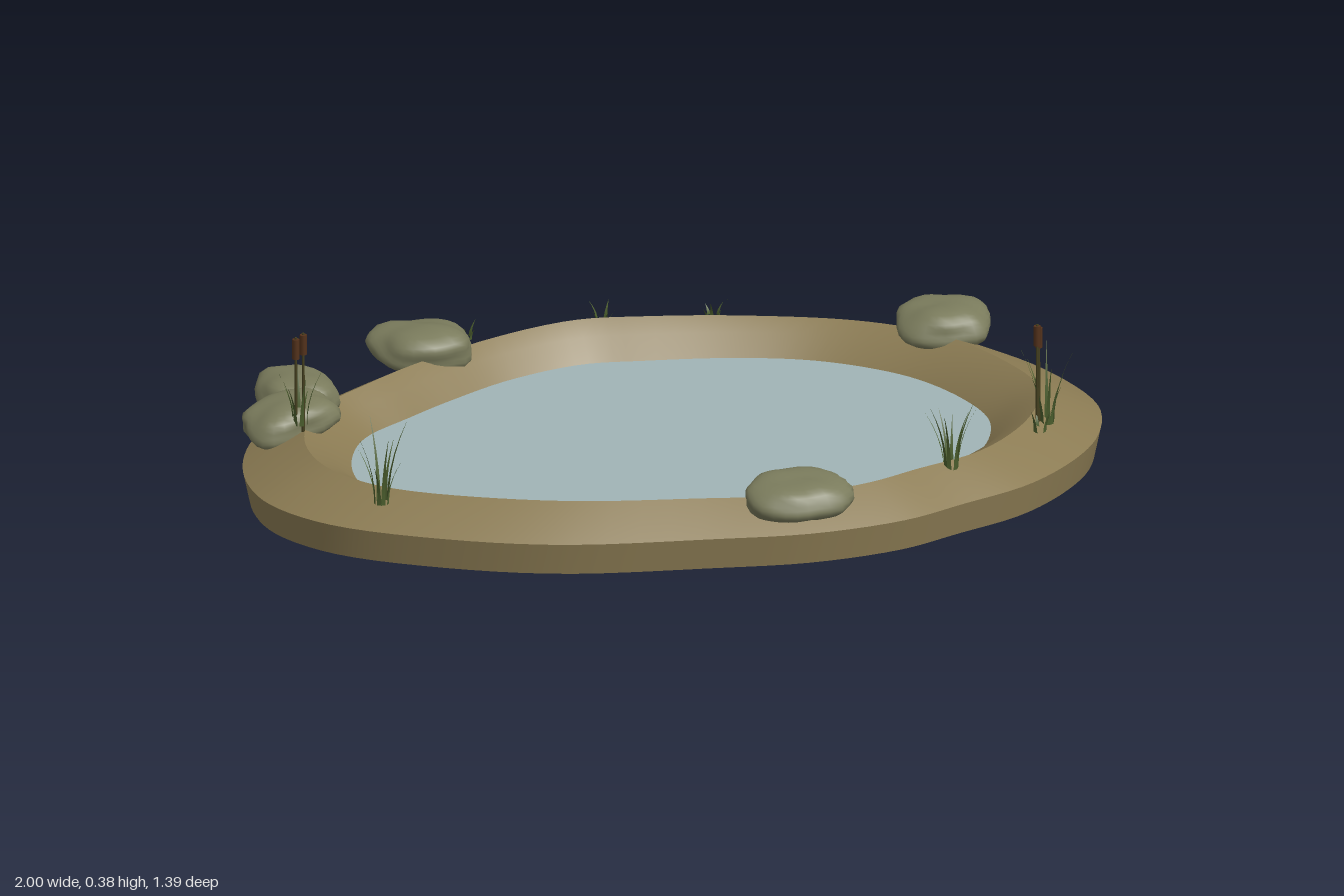
import * as THREE from 'three';
import { mergeVertices } from 'three/addons/utils/BufferGeometryUtils.js';

const mat = (name, color, side = THREE.FrontSide) => {
  const m = new THREE.MeshStandardMaterial({ color, side });
  m.name = name;
  return m;
};

export function createModel() {
  const soil = mat('soil', 0x8b7b53);
  const waterMat = mat('water', 0xa0b4b6);
  const stone = mat('stone', 0x7a7b5c);
  const leaf = mat('leaf', 0x4c5f2e, THREE.DoubleSide);
  const stem = mat('stem', 0x45401f);
  const headMat = mat('seed head', 0x54321b);

  const pond = new THREE.Group();
  pond.name = 'pond';
  const add = (parent, name, geo, material) => {
    const mesh = new THREE.Mesh(geo, material);
    mesh.name = name;
    parent.add(mesh);
    return mesh;
  };

  // Outline of the bank, walked from +x through +z
  const outline = new THREE.CatmullRomCurve3([
    [1, 0.04], [0.96, 0.21], [0.88, 0.34], [0.73, 0.48], [0.55, 0.565], [0.4, 0.63],
    [0.18, 0.66], [-0.05, 0.64], [-0.4, 0.59], [-0.66, 0.485], [-0.88, 0.34],
    [-0.98, 0.19], [-1, 0.05], [-0.97, -0.11], [-0.89, -0.26], [-0.72, -0.39],
    [-0.56, -0.5], [-0.34, -0.625], [-0.1, -0.695], [0.09, -0.68], [0.35, -0.64],
    [0.57, -0.57], [0.73, -0.47], [0.86, -0.34], [0.955, -0.16],
  ].map(([x, z]) => new THREE.Vector3(x, 0, z)), true);
  const N = 120;
  const points = outline.getPoints(N).slice(0, N);

  // Skin through scaled copies of the outline: [scale, height, waviness]
  const band = (rings) => {
    const pos = [], idx = [];
    for (const [s, y, wave = 0] of rings) {
      points.forEach((p, i) => {
        const a = (i / N) * Math.PI * 2;
        pos.push(p.x * s, y + wave * (Math.sin(3 * a + 1) + Math.sin(7 * a)), p.z * s);
      });
    }
    for (let r = 0; r < rings.length - 1; r++) {
      for (let i = 0; i < N; i++) {
        const j = (i + 1) % N, a = r * N, b = a + N;
        idx.push(a + i, b + i, a + j, b + i, b + j, a + j);
      }
    }
    const g = new THREE.BufferGeometry();
    g.setAttribute('position', new THREE.Float32BufferAttribute(pos, 3));
    g.setIndex(idx);
    g.computeVertexNormals();
    return g;
  };

  // Bank and water
  add(pond, 'underside', band([[0, 0], [0.984, 0]]), soil);
  add(pond, 'outerWall', band([[0.984, 0], [1, 0.075]]), soil);
  add(pond, 'bankSlope', band([[1, 0.075], [0.93, 0.109, 0.001], [0.855, 0.14, 0.0025]]), soil);
  add(pond, 'innerWall', band([[0.855, 0.14, 0.0025], [0.80, 0.112, 0.001], [0.745, 0.065], [0.70, 0.02]]), soil);
  add(pond, 'water', band([[0.747, 0.064], [0, 0.064]]), waterMat);

  // Rounded boulder with a flattened bottom
  const boulder = (seed) => {
    let g = new THREE.SphereGeometry(1, 28, 18);
    g.deleteAttribute('uv');
    g.deleteAttribute('normal');
    g = mergeVertices(g, 1e-4);
    const p = g.attributes.position, v = new THREE.Vector3();
    for (let i = 0; i < p.count; i++) {
      v.fromBufferAttribute(p, i);
      const k = (Math.abs(v.x) ** 3 + Math.abs(v.y) ** 2.3 + Math.abs(v.z) ** 3) ** (-1 / 3);
      const n = 1 + 0.07 * Math.sin(3 * v.x + seed) * Math.cos(2.6 * v.z - seed * 2)
        + 0.05 * Math.sin(5 * v.y + 4 * v.z + seed * 3) + 0.025 * Math.sin(8 * v.x - 6 * v.z + seed);
      v.multiplyScalar(k * n);
      v.y = Math.max(v.y, -0.8);
      p.setXYZ(i, v.x, v.y, v.z);
    }
    g.computeVertexNormals();
    return g;
  };

  // x, y, z, half sizes, yaw, tilt
  [
    [-0.45, 0.142, -0.525, 0.112, 0.05, 0.095, 0.1, 0],
    [-0.8, 0.147, -0.295, 0.09, 0.05, 0.09, -0.1, 0],
    [-0.85, 0.139, -0.165, 0.11, 0.047, 0.082, 0.25, 0.16],
    [0.735, 0.145, -0.37, 0.104, 0.051, 0.094, -0.15, 0],
    [0.155, 0.142, 0.592, 0.114, 0.05, 0.093, 0.05, 0],
  ].forEach(([x, y, z, sx, sy, sz, yaw, tilt], i) => {
    const rock = add(pond, 'rock' + (i + 1), boulder(i * 1.9 + 0.6), stone);
    rock.position.set(x, y, z);
    rock.scale.set(sx, sy, sz);
    rock.rotation.set(0, yaw, tilt);
  });

  // Curved grass blade that tapers to a tip
  const blade = (height, lean, angle, width) => {
    const g = new THREE.PlaneGeometry(width, height, 1, 5);
    const p = g.attributes.position;
    for (let i = 0; i < p.count; i++) {
      const t = p.getY(i) / height + 0.5;
      p.setXYZ(i, p.getX(i) * (1 - t * 0.95), t * height, lean * t * t);
    }
    g.rotateY(angle);
    g.computeVertexNormals();
    return g;
  };

  // Tufts: x, y, z, blade height, spread, count
  [
    [-0.76, 0.12, 0.35, 0.19, 0.05, 8],
    [0.55, 0.12, 0.46, 0.17, 0.05, 8],
    [0.83, 0.125, 0.24, 0.18, 0.045, 8],
    [-0.84, 0.15, -0.1, 0.13, 0.035, 7],
    [0, 0.125, -0.615, 0.045, 0.02, 5],
    [0.25, 0.125, -0.585, 0.045, 0.02, 5],
    [-0.33, 0.125, -0.59, 0.045, 0.02, 4],
    [0.8, 0.125, 0.285, 0.06, 0.02, 4],
  ].forEach(([x, y, z, h, spread, count], c) => {
    const tuft = new THREE.Group();
    tuft.name = 'grassTuft' + (c + 1);
    tuft.position.set(x, y, z);
    for (let i = 0; i < count; i++) {
      const a = i * 2.4 + c, f = 0.5 + 0.5 * Math.abs(Math.sin(i * 1.7 + c + 1));
      const m = add(tuft, 'blade', blade(h * f, spread * (0.3 + 0.7 * f), a, 0.011), leaf);
      m.position.set(Math.sin(a) * 0.016, 0, Math.cos(a) * 0.016);
    }
    pond.add(tuft);
  });

  // Cattails: x, z, base height, top height
  [
    [0.803, 0.258, 0.12, 0.375],
    [0.81, 0.245, 0.12, 0.365],
    [-0.834, -0.092, 0.13, 0.375],
    [-0.848, -0.106, 0.13, 0.36],
  ].forEach(([x, z, y0, y1], i) => {
    const reed = new THREE.Group();
    reed.name = 'cattail' + (i + 1);
    reed.position.set(x, y0, z);
    const h = y1 - y0;
    add(reed, 'stalk', new THREE.CylinderGeometry(0.003, 0.004, h, 6), stem).position.y = h / 2;
    add(reed, 'seedHead', new THREE.CylinderGeometry(0.0085, 0.0085, 0.048, 8), headMat).position.y = h - 0.028;
    pond.add(reed);
  });

  return pond;
}
